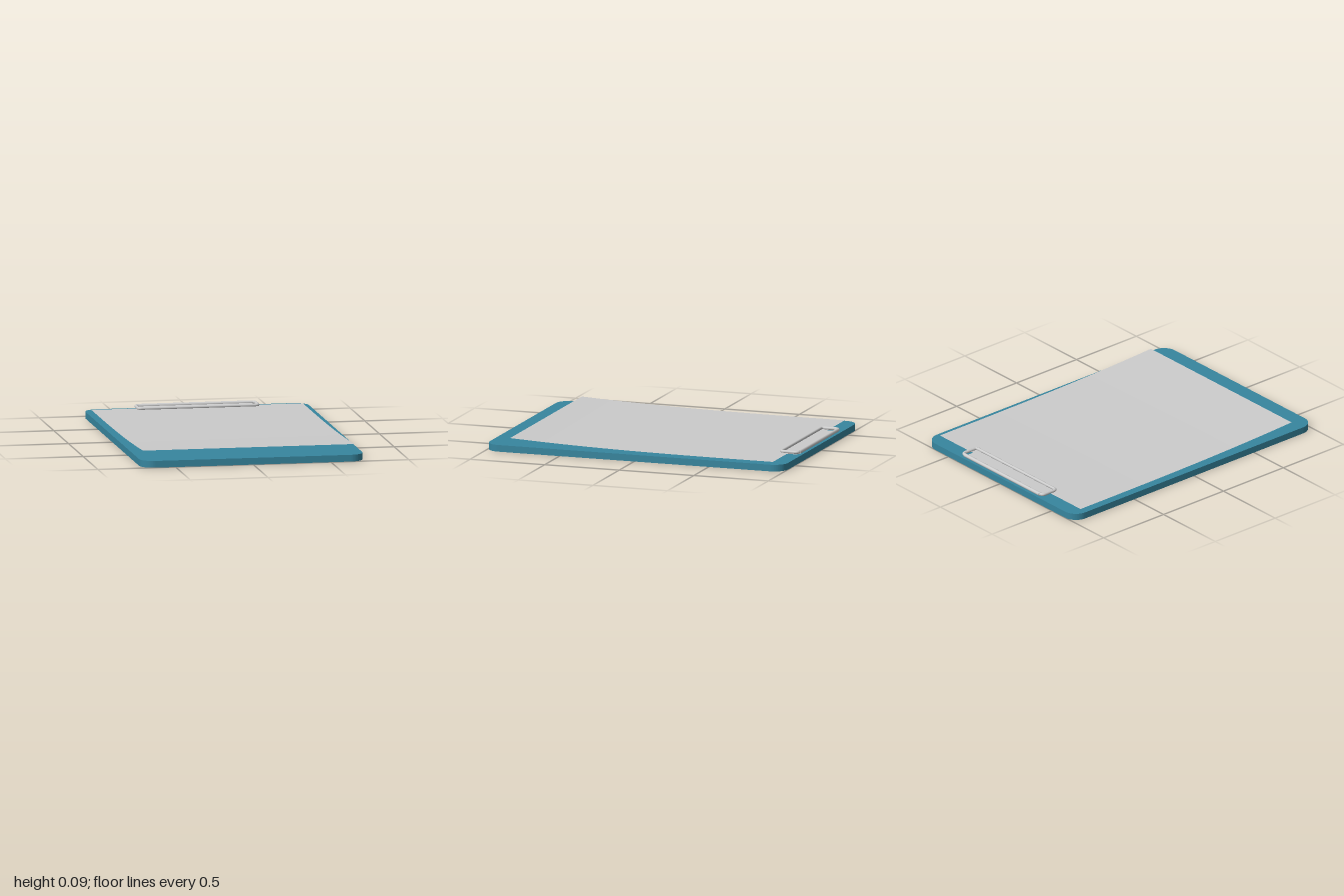
import * as THREE from 'three';

const grey = new THREE.MeshStandardMaterial({ color: 0xcccccc });
const sheet = new THREE.MeshStandardMaterial({ color: 0xcccccc, side: THREE.DoubleSide });
const blue = new THREE.MeshStandardMaterial({ color: 0x37869f });

function roundedRect(w, d, r) {
  const x = w / 2, y = d / 2, s = new THREE.Shape();
  s.absarc(x - r, y - r, r, 0, Math.PI / 2);
  s.absarc(-x + r, y - r, r, Math.PI / 2, Math.PI);
  s.absarc(-x + r, -y + r, r, Math.PI, Math.PI * 1.5);
  s.absarc(x - r, -y + r, r, Math.PI * 1.5, Math.PI * 2);
  s.closePath();
  return s;
}

export function createModel() {
  const model = new THREE.Group();
  const add = (name, geometry, material, parent = model) => {
    const mesh = new THREE.Mesh(geometry, material);
    mesh.name = name;
    parent.add(mesh);
    return mesh;
  };

  // Board: flat slab with rounded corners
  const board = new THREE.ExtrudeGeometry(roundedRect(1.436, 2, 0.09), {
    depth: 0.043, bevelEnabled: false, curveSegments: 8,
  });
  board.rotateX(-Math.PI / 2);
  add('board', board, blue);

  // Paper: thin sheet whose front end curls gently upward
  const back = -0.917, front = 0.845;
  const paper = new THREE.PlaneGeometry(1.36, front - back, 1, 24);
  paper.rotateX(-Math.PI / 2);
  paper.translate(0, 0, (front + back) / 2);
  const p = paper.attributes.position;
  for (let i = 0; i < p.count; i++) {
    const t = (p.getZ(i) - back) / (front - back);
    p.setY(i, 0.054 + 0.031 * t ** 3);
  }
  paper.computeVertexNormals();
  add('paper', paper, sheet);

  // Clip
  const clip = new THREE.Group();
  clip.name = 'clip';
  model.add(clip);

  // Base plate: side profile (z, y) that bends up into the hinge at the back
  const profile = new THREE.Shape([
    [-0.843, 0.042], [-0.962, 0.042], [-0.978, 0.048], [-0.99, 0.06],
    [-0.98, 0.066], [-0.97, 0.056], [-0.958, 0.051], [-0.843, 0.051],
  ].map(([z, y]) => new THREE.Vector2(z, y)));
  const plate = new THREE.ExtrudeGeometry(profile, { depth: 0.73, bevelEnabled: false });
  plate.rotateY(-Math.PI / 2);
  plate.translate(0.365, 0, 0);
  add('clipPlate', plate, grey, clip);

  // Hinge roll wrapped round the back wire
  const hinge = new THREE.CylinderGeometry(0.012, 0.012, 0.726, 16);
  hinge.rotateZ(Math.PI / 2);
  add('clipHinge', hinge, grey, clip).position.set(0, 0.06, -0.983);

  // Wire frame: closed loop with rounded corners
  const loop = new THREE.CurvePath();
  const x = 0.385, z0 = -0.981, z1 = -0.866, r = 0.02;
  const at = (px, pz) => new THREE.Vector3(px, 0.061, pz);
  const corners = [[x, z0], [x, z1], [-x, z1], [-x, z0]];
  corners.forEach(([cx, cz], i) => {
    const [nx, nz] = corners[(i + 1) % 4], [mx, mz] = corners[(i + 2) % 4];
    const c = at(cx, cz), n = at(nx, nz), m = at(mx, mz);
    const d = n.clone().sub(c).normalize(), e = m.clone().sub(n).normalize();
    const end = n.clone().addScaledVector(d, -r);
    loop.add(new THREE.LineCurve3(c.clone().addScaledVector(d, r), end));
    loop.add(new THREE.QuadraticBezierCurve3(end, n, n.clone().addScaledVector(e, r)));
  });
  add('clipWire', new THREE.TubeGeometry(loop, 240, 0.01, 10, true), grey, clip);

  return model;
}
